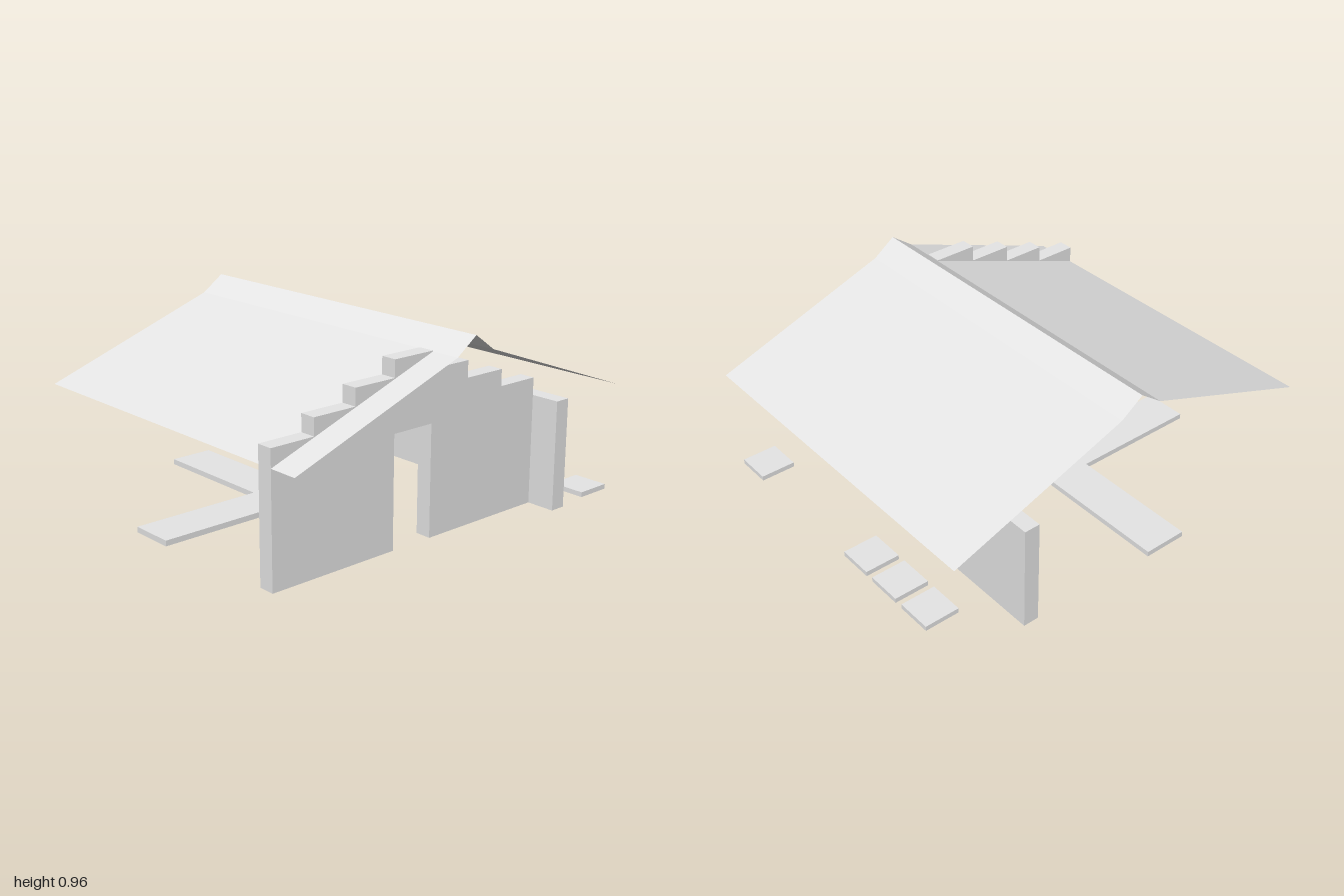
import * as THREE from 'three';

const U = 1 / 9;            // planning module
const BASE = 0.027;         // slab thickness and floor level
const WALL = 0.078;         // wall thickness

const concrete = new THREE.MeshStandardMaterial({ color: 0xe6e6e6, side: THREE.DoubleSide });
concrete.name = 'pale grey concrete';

function add(parent, name, geometry) {
  const mesh = new THREE.Mesh(geometry, concrete);
  mesh.name = name;
  parent.add(mesh);
  return mesh;
}

// Box given by its minimum and maximum corners
function block(parent, name, [x0, y0, z0], [x1, y1, z1]) {
  const mesh = add(parent, name, new THREE.BoxGeometry(x1 - x0, y1 - y0, z1 - z0));
  mesh.position.set((x0 + x1) / 2, (y0 + y1) / 2, (z0 + z1) / 2);
}

function polygon(points, Type = THREE.Shape) {
  return new Type(points.map(([x, y]) => new THREE.Vector2(x, y)));
}

// Folded sheet: one flat panel between each pair of neighbouring profile points [z, y]
function foldedSheet(profile, halfWidth) {
  const positions = [];
  for (let i = 0; i < profile.length - 1; i++) {
    const [za, ya] = profile[i], [zb, yb] = profile[i + 1];
    const a = [-halfWidth, ya, za], b = [halfWidth, ya, za];
    const c = [halfWidth, yb, zb], d = [-halfWidth, yb, zb];
    positions.push(...a, ...b, ...c, ...a, ...c, ...d);
  }
  const g = new THREE.BufferGeometry();
  g.setAttribute('position', new THREE.Float32BufferAttribute(positions, 3));
  g.computeVertexNormals();
  return g;
}

export function createModel() {
  const house = new THREE.Group();
  house.name = 'house';

  // Thin roof, steeper beside the ridge
  const roof = [[1, 0.556], [U, 0.876], [0, 0.956], [-U, 0.876], [-1, 0.556]];
  add(house, 'roof', foldedSheet(roof, 8 * U));

  // Back wall with a small window opening
  const back = polygon([[-8 * U, BASE], [8 * U, BASE], [8 * U, 0.556], [-8 * U, 0.556]]);
  back.holes.push(polygon([[-0.17, 0.211], [-0.17, 0.424], [-0.057, 0.424], [-0.057, 0.211]], THREE.Path));
  const backWall = add(house, 'backWall', new THREE.ExtrudeGeometry(back, { depth: WALL, bevelEnabled: false }));
  backWall.position.z = -5 * U - WALL;

  // Side wall with a stepped top and a doorway; drawn over u = -z
  const outline = [[5 * U, BASE]];
  for (let i = 0; i < 7; i++) {
    const y = 0.64 + 0.08 * Math.min(i, 6 - i);
    outline.push([(5 - 2 * i) * U, y], [(3 - 2 * i) * U, y]);
  }
  outline.push([-1, BASE], [-3 * U, BASE], [-3 * U, 0.556], [-U, 0.556], [-U, BASE]);
  const side = new THREE.ExtrudeGeometry(polygon(outline), { depth: WALL, bevelEnabled: false });
  side.rotateY(Math.PI / 2);
  add(house, 'steppedSideWall', side).position.x = 6 * U;

  // L-shaped paving and the slab in the inner corner
  block(house, 'pavingAcross', [-8 * U, 0, U], [-2 * U, BASE, 3 * U]);
  block(house, 'pavingForward', [-2 * U, 0, U], [0, BASE, 1]);
  block(house, 'cornerSlab', [4 * U, 0, -5 * U], [6 * U, BASE, -3 * U]);

  // Stepping stones behind the house
  const r = 0.8 * U;
  for (const n of [7, -1, -3, -5]) {
    block(house, 'steppingStone', [n * U - r, BASE, -8 * U - r], [n * U + r, 0.051, -8 * U + r]);
  }

  return house;
}
